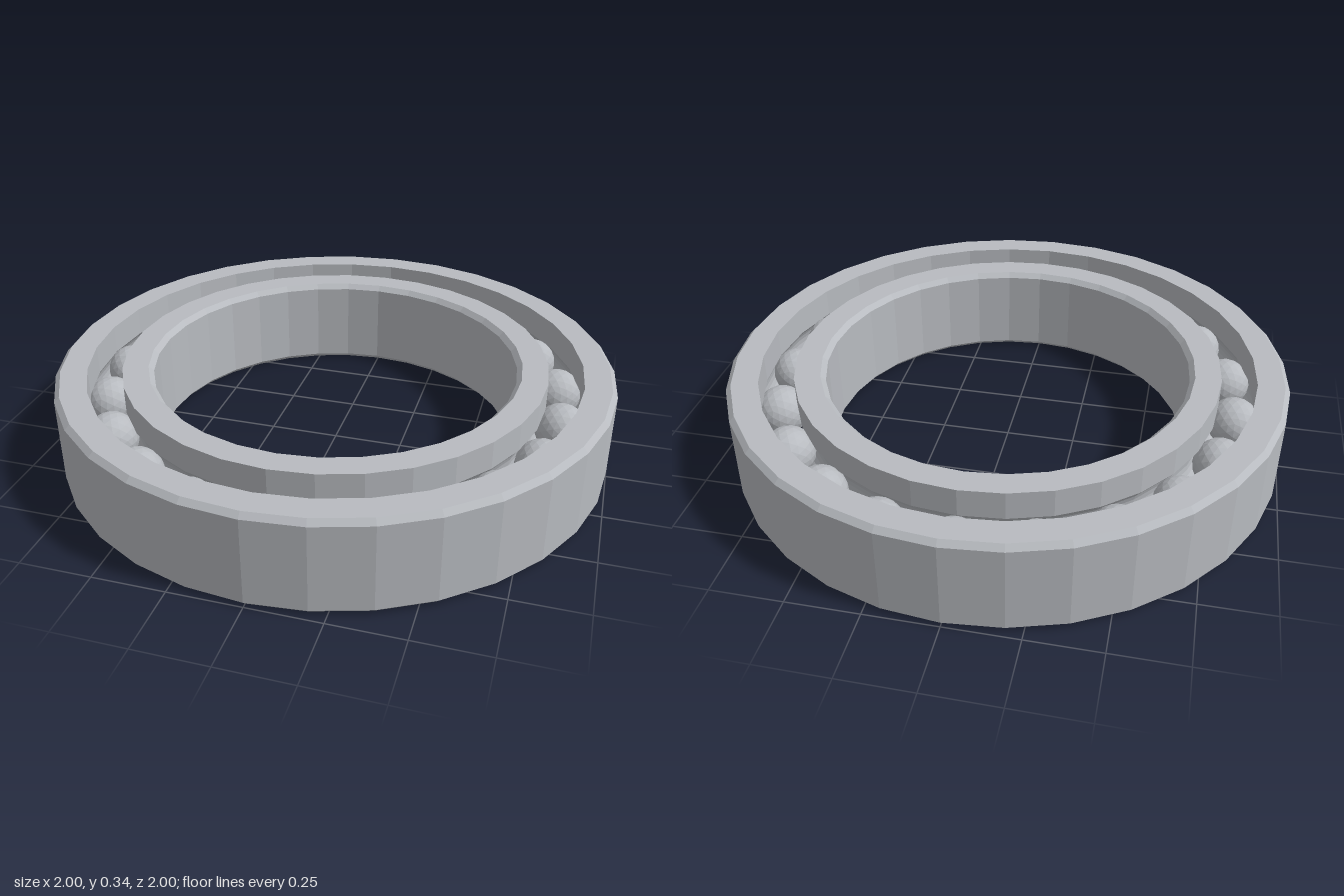
import * as THREE from 'three';

const HEIGHT = 0.34, MID = HEIGHT / 2, CHAMFER = 0.018;
const PITCH = 0.825, BALL_R = 0.092, BALLS = 20, SIDES = 32;

const steel = new THREE.MeshStandardMaterial({ color: 0xb8bbc0 });
steel.name = 'steel';

// Give every face its own flat normal
function faceted(geometry) {
  const flat = geometry.index ? geometry.toNonIndexed() : geometry;
  flat.computeVertexNormals();
  return flat;
}

// Round ball groove cut into the shoulder at radius r; dir = 1 runs upwards
function groove(r, dir) {
  const side = Math.sign(r - PITCH);
  const half = Math.acos(Math.abs(r - PITCH) / BALL_R);
  const points = [];
  for (let i = 0; i <= 8; i++) {
    const a = dir * half * (i / 4 - 1);
    points.push([PITCH + side * BALL_R * Math.cos(a), MID + BALL_R * Math.sin(a)]);
  }
  return points;
}

// Revolve a closed counter-clockwise (radius, height) section
function ring(name, section) {
  const points = [...section, section[0]].map(([r, y]) => new THREE.Vector2(r, y));
  const mesh = new THREE.Mesh(faceted(new THREE.LatheGeometry(points, SIDES)), steel);
  mesh.name = name;
  return mesh;
}

export function createModel() {
  const model = new THREE.Group();
  model.name = 'ballBearing';

  // Outer race: chamfered rim outside, ball groove inside
  const rim = 1, outerShoulder = 0.888;
  model.add(ring('outerRace', [
    [outerShoulder, 0], [rim - CHAMFER, 0], [rim, CHAMFER],
    [rim, HEIGHT - CHAMFER], [rim - CHAMFER, HEIGHT], [outerShoulder, HEIGHT],
    ...groove(outerShoulder, -1),
  ]));

  // Inner race: ball groove outside, chamfered bore inside
  const bore = 0.655, innerShoulder = 0.765;
  model.add(ring('innerRace', [
    [bore + CHAMFER, 0], [innerShoulder, 0],
    ...groove(innerShoulder, 1),
    [innerShoulder, HEIGHT], [bore + CHAMFER, HEIGHT],
    [bore, HEIGHT - CHAMFER], [bore, CHAMFER],
  ]));

  // Balls evenly spaced between the races
  const balls = new THREE.Group();
  balls.name = 'balls';
  const ballGeometry = faceted(new THREE.IcosahedronGeometry(BALL_R, 3));
  for (let i = 0; i < BALLS; i++) {
    const a = (i / BALLS) * Math.PI * 2;
    const ball = new THREE.Mesh(ballGeometry, steel);
    ball.name = 'ball';
    ball.position.set(PITCH * Math.cos(a), MID, PITCH * Math.sin(a));
    balls.add(ball);
  }
  model.add(balls);

  return model;
}
